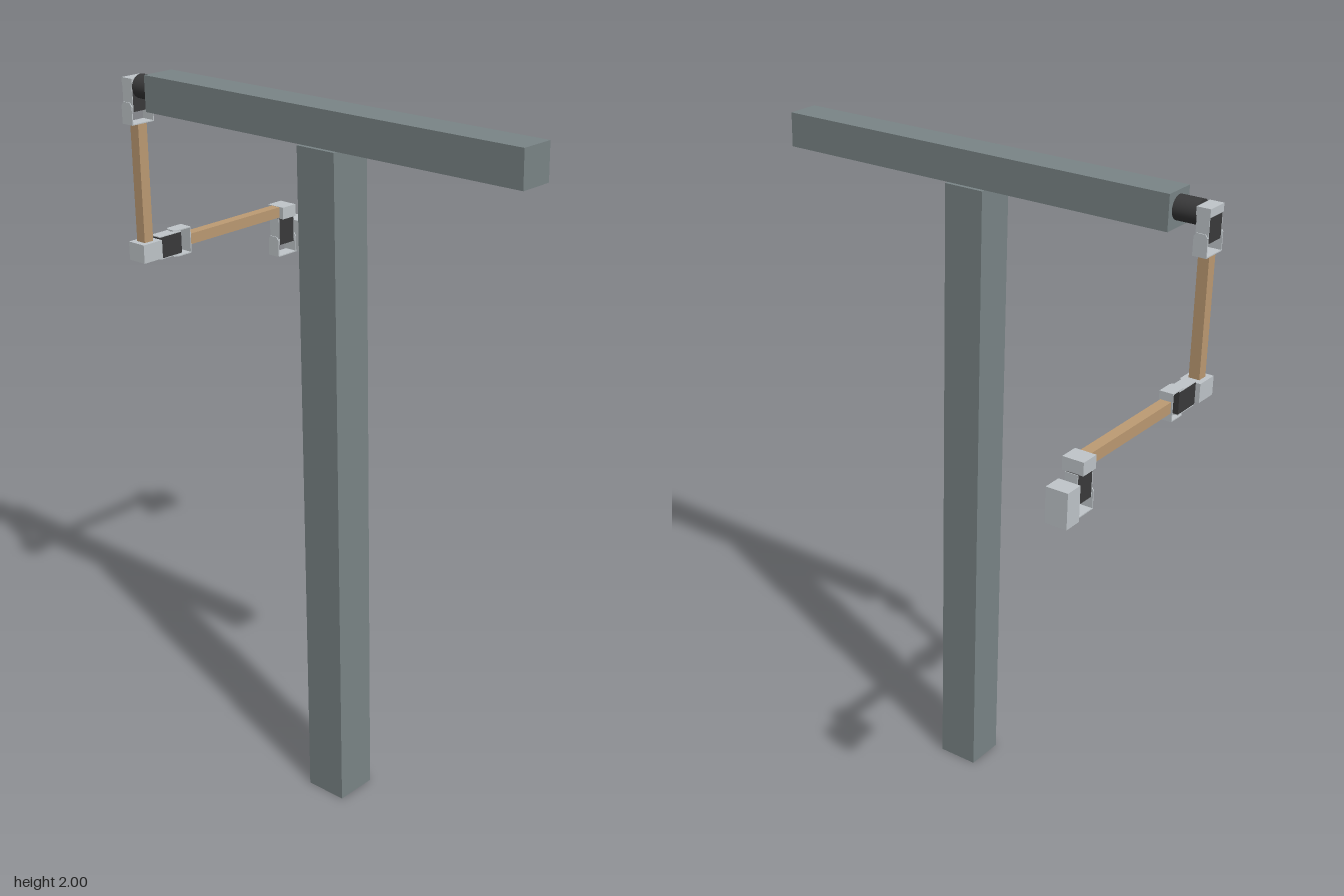
import * as THREE from 'three';

const material = (name, color, side = THREE.FrontSide) =>
  Object.assign(new THREE.MeshStandardMaterial({ color, side }), { name });

export function createModel() {
  const steel = material('steel grey', 0x7a8587);
  const alloy = material('light alloy', 0xc0c6ca);
  const dark = material('dark servo', 0x3a3a3b);
  const wood = material('tan rod', 0xbd9b73);

  const model = new THREE.Group();
  model.name = 'robotArmOnStand';

  // Box given by its min and max corners
  function box(parent, name, mat, [x0, y0, z0], [x1, y1, z1]) {
    const mesh = new THREE.Mesh(new THREE.BoxGeometry(x1 - x0, y1 - y0, z1 - z0), mat);
    mesh.position.set((x0 + x1) / 2, (y0 + y1) / 2, (z0 + z1) / 2);
    mesh.name = name;
    parent.add(mesh);
    return mesh;
  }

  const armX = -0.298, armZ = -0.661, rodY = 1.481;

  // T-shaped stand
  box(model, 'post', steel, [-0.36, 0, 0], [-0.236, 1.9, 0.125]);
  box(model, 'crossBeam', steel, [-0.348, 1.9, -0.571], [-0.248, 2, 0.694]);

  // Shoulder motor on the beam end
  const motor = new THREE.Mesh(new THREE.CylinderGeometry(0.034, 0.034, 0.069, 32), dark);
  motor.rotation.x = Math.PI / 2;
  motor.position.set(armX, 1.954, -0.6055);
  motor.name = 'shoulderMotor';
  model.add(motor);

  // Side arm of a U bracket, with clipped upper corners
  const armShape = new THREE.Shape([
    [-0.0205, -0.078], [0.0205, -0.078], [0.0205, -0.026],
    [0.0125, -0.016], [-0.0125, -0.016], [-0.0205, -0.026],
  ].map(([x, y]) => new THREE.Vector2(x, y)));
  const armGeometry = new THREE.ExtrudeGeometry(armShape, { depth: 0.003, bevelEnabled: false });
  armGeometry.translate(0, 0, -0.0015).rotateY(Math.PI / 2);
  const pivotGeometry = new THREE.CylinderGeometry(0.012, 0.012, 0.005, 20).rotateZ(Math.PI / 2);

  // Servo hinge pointing down its own -y, with a U bracket around its lower half
  function hinge(name, x, y, turn = 0) {
    const group = new THREE.Group();
    group.name = name;
    group.position.set(x, y, armZ);
    group.rotation.z = turn;
    box(group, 'servoBody', dark, [-0.0315, -0.042, -0.0185], [0.0315, 0.042, 0.0185]);
    box(group, 'bracketBase', alloy, [-0.0395, -0.078, -0.0205], [0.0395, -0.075, 0.0205]);
    for (const side of [-1, 1]) {
      const sidePlate = box(group, 'servoSidePlate', alloy,
        [-0.00125, -0.042, -0.0187], [0.00125, 0.042, 0.0187]);
      sidePlate.position.x = side * 0.0325;
      const arm = new THREE.Mesh(armGeometry, alloy);
      arm.position.x = side * 0.038;
      arm.name = 'bracketArm';
      const pivot = new THREE.Mesh(pivotGeometry, alloy);
      pivot.position.set(side * 0.035, -0.03, 0);
      pivot.name = 'pivot';
      group.add(arm, pivot);
    }
    model.add(group);
  }

  hinge('shoulderHinge', armX, 1.928);
  hinge('elbowHinge', -0.218, rodY, Math.PI / 2);
  hinge('wristHinge', 0.263, 1.42);

  // Blocks that carry the hinges
  box(model, 'shoulderCap', alloy, [-0.332, 1.955, armZ - 0.02], [-0.264, 1.978, armZ + 0.021]);
  box(model, 'elbowBlock', alloy, [-0.332, 1.455, armZ - 0.031], [-0.262, 1.509, armZ + 0.031]);
  box(model, 'wristBlock', alloy, [0.236, 1.461, armZ - 0.031], [0.292, 1.498, armZ + 0.031]);

  // Arm rods
  box(model, 'upperRod', wood, [armX - 0.016, 1.509, armZ - 0.016], [armX + 0.016, 1.85, armZ + 0.016]);
  box(model, 'foreRod', wood, [-0.14, rodY - 0.016, armZ - 0.016], [0.236, rodY + 0.016, armZ + 0.016]);

  // End block fixed to the wrist bracket
  box(model, 'endBlock', alloy, [0.3035, 1.343, armZ - 0.032], [0.358, 1.442, armZ + 0.032]);

  return model;
}
